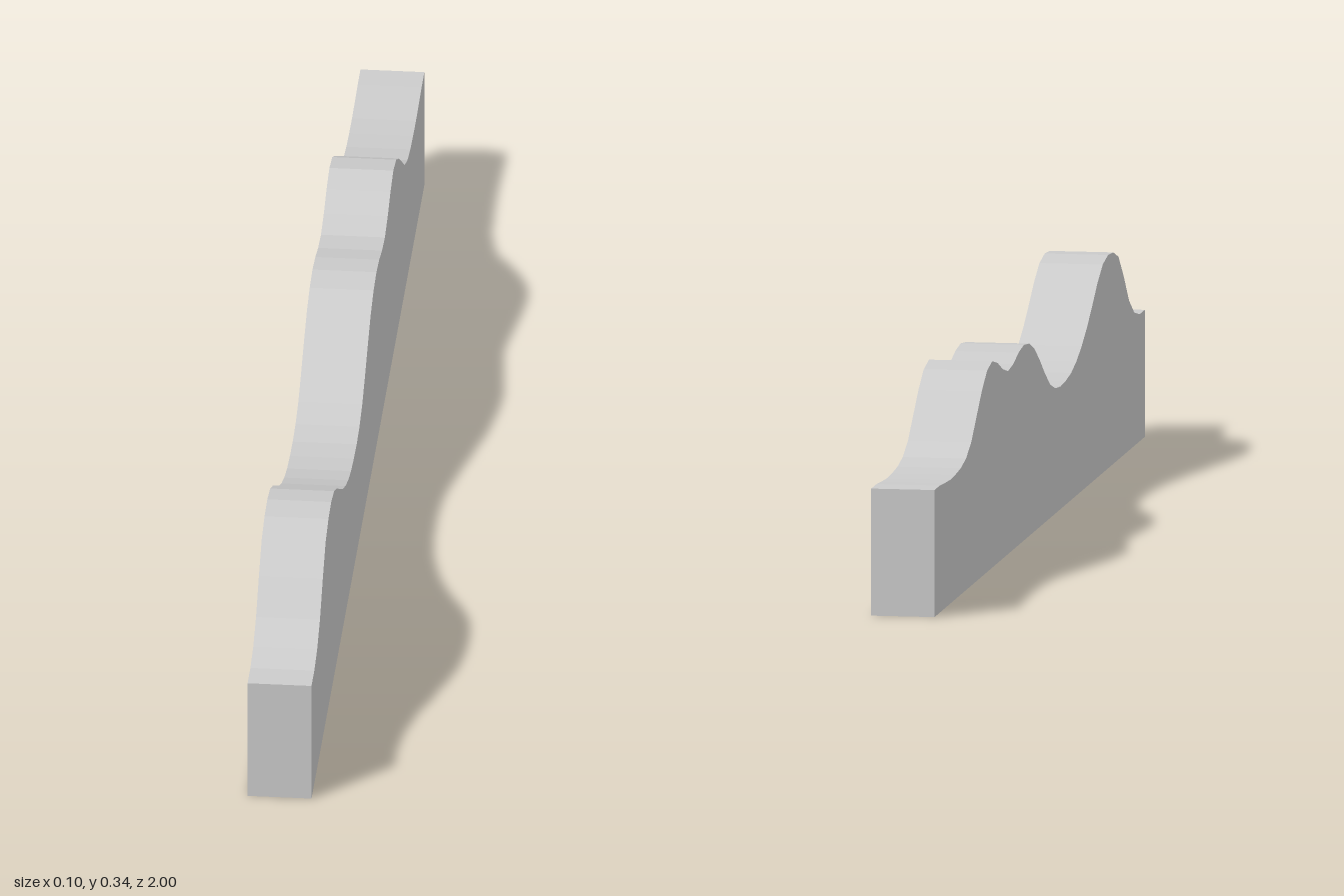
import * as THREE from 'three';

const LENGTH = 2;
const WIDTH = 0.1;

// Height of the wavy top edge at even steps, from the front (z = 1) to the back (z = -1)
const HEIGHTS = [
  0.2, 0.2, 0.21, 0.236, 0.281, 0.319, 0.333, 0.336, 0.328, 0.306,
  0.277, 0.25, 0.228, 0.211, 0.2, 0.195, 0.193, 0.197, 0.21, 0.235,
  0.263, 0.288, 0.303, 0.308, 0.303, 0.292, 0.288, 0.298, 0.315, 0.325,
  0.317, 0.292, 0.259, 0.226, 0.207, 0.199, 0.196, 0.195, 0.197, 0.2, 0.2,
];

export function createModel() {
  const group = new THREE.Group();
  group.name = 'wavyRail';

  // Side outline: flat base, straight ends, rolling top
  const outline = new THREE.Shape();
  outline.moveTo(-LENGTH / 2, 0);
  outline.lineTo(LENGTH / 2, 0);
  HEIGHTS.forEach((height, i) => {
    outline.lineTo(LENGTH / 2 - (i * LENGTH) / (HEIGHTS.length - 1), height);
  });
  outline.closePath();

  // Extrude across the thickness, then turn the length along z
  const geometry = new THREE.ExtrudeGeometry(outline, { depth: WIDTH, bevelEnabled: false });
  geometry.translate(0, 0, -WIDTH / 2);
  geometry.rotateY(-Math.PI / 2);

  const material = new THREE.MeshStandardMaterial({ color: 0xcccccc, flatShading: true });
  const rail = new THREE.Mesh(geometry, material);
  rail.name = 'rail';
  group.add(rail);
  return group;
}
